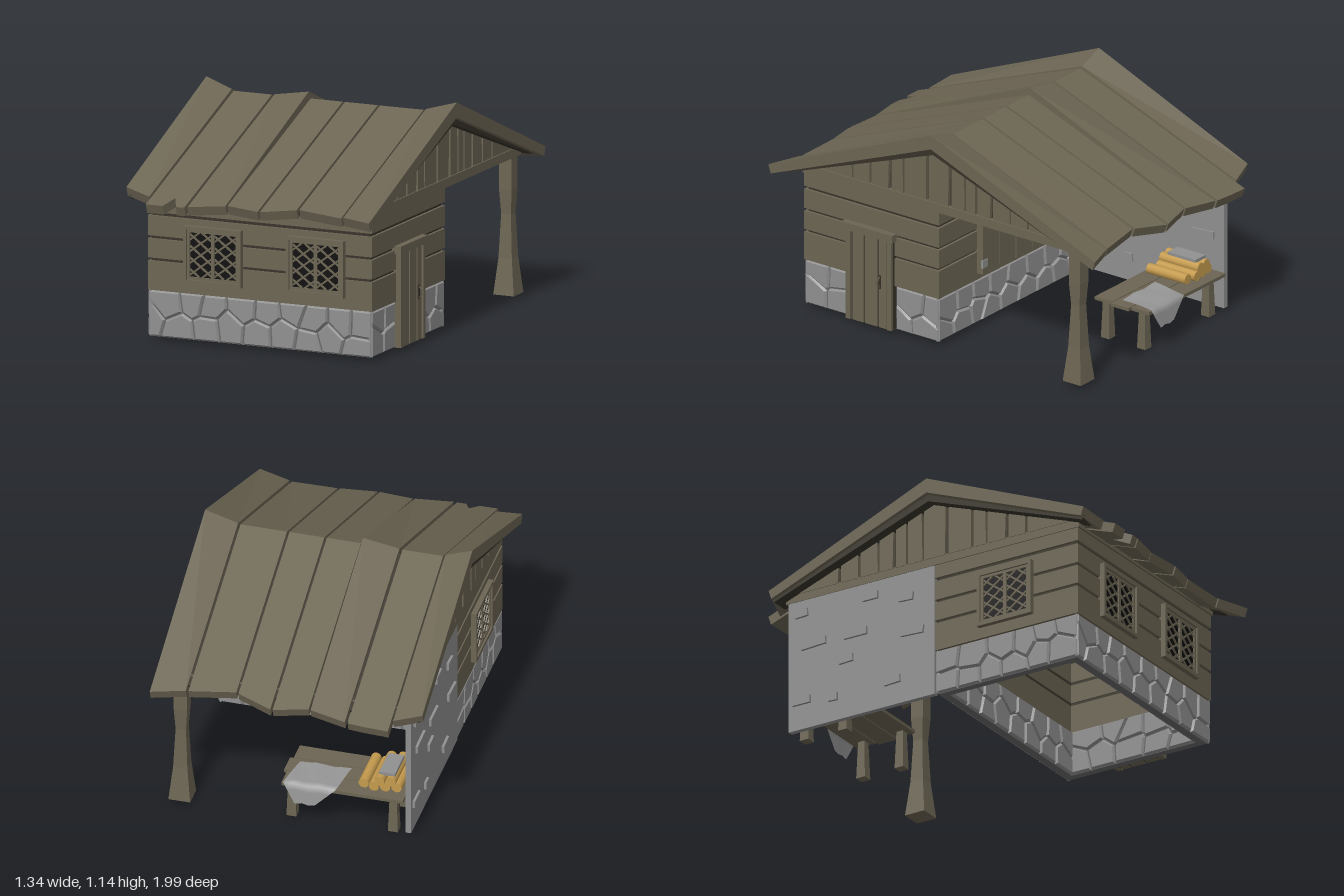
import * as THREE from 'three';
import { mergeGeometries } from 'three/addons/utils/BufferGeometryUtils.js';

const paint = (name, color, side = THREE.FrontSide) => {
  const m = new THREE.MeshStandardMaterial({ color, side });
  m.name = name;
  return m;
};

export function createModel() {
  const root = new THREE.Group();
  root.name = 'cabin';
  const wood = paint('weathered wood', 0x6c6553), dark = paint('dark gap', 0x38332a);
  const stone = paint('stone', 0x909090), mortar = paint('mortar', 0x686868);
  const pane = paint('window pane', 0x0d0d0d), log = paint('cut log', 0xc59b4e);
  const fabric = paint('cloth', 0x969696, THREE.DoubleSide);

  const mesh = (name, geo, mat, parent = root) => {
    const m = new THREE.Mesh(geo, mat);
    m.name = name;
    parent.add(m);
    return m;
  };
  // box given by its limits
  const box = (name, mat, x0, x1, y0, y1, z0, z1, parent = root) => {
    const m = mesh(name, new THREE.BoxGeometry(x1 - x0, y1 - y0, z1 - z0), mat, parent);
    m.position.set((x0 + x1) / 2, (y0 + y1) / 2, (z0 + z1) / 2);
    return m;
  };
  const group = (name, x, y, z, ry = 0, parent = root) => {
    const g = new THREE.Group();
    g.name = name;
    g.position.set(x, y, z);
    g.rotation.y = ry;
    parent.add(g);
    return g;
  };
  // square post from [half width, y] pairs
  const squarePost = (name, profile, x, z) => {
    const pts = profile.map(([h, y]) => new THREE.Vector2(h * Math.SQRT2, y));
    const g = new THREE.LatheGeometry(pts, 4, Math.PI / 4).toNonIndexed();
    g.computeVertexNormals();
    mesh(name, g, wood).position.set(x, 0, z);
  };
  let seed = 7;
  const rand = () => (seed = (seed * 16807) % 2147483647) / 2147483647;

  // field of irregular bevelled stones on a w by h rectangle, facing +z
  const stoneField = (w, h) => {
    const n = Math.max(2, Math.round(w / 0.13)), seeds = [], geos = [];
    for (let r = 0; r < 2; r++) for (let i = 0; i < n; i++)
      seeds.push([(i + 0.3 + r * 0.35 + (rand() - 0.5) * 0.5) * w / n, (r + 0.5 + (rand() - 0.5) * 0.55) * h / 2]);
    for (const a of seeds) {
      let poly = [[0.002, 0.002], [w - 0.002, 0.002], [w - 0.002, h - 0.002], [0.002, h - 0.002]];
      for (const b of seeds) {
        if (a === b) continue;
        const d = Math.hypot(b[0] - a[0], b[1] - a[1]), dx = (b[0] - a[0]) / d, dy = (b[1] - a[1]) / d;
        const dist = p => (p[0] - a[0]) * dx + (p[1] - a[1]) * dy - d / 2 + 0.003;
        const out = [];
        poly.forEach((p, i) => {
          const q = poly[(i + 1) % poly.length], s = dist(p), t = dist(q);
          if (s <= 0) out.push(p);
          if (s * t < 0) out.push([p[0] + (q[0] - p[0]) * s / (s - t), p[1] + (q[1] - p[1]) * s / (s - t)]);
        });
        poly = out;
      }
      if (poly.length < 3) continue;
      const shape = new THREE.Shape(poly.map(p => new THREE.Vector2(p[0], p[1])));
      geos.push(new THREE.ExtrudeGeometry(shape, { depth: 0.003, bevelThickness: 0.011, bevelSize: 0.008, bevelOffset: -0.008, bevelSegments: 1 }));
    }
    return mergeGeometries(geos);
  };

  // four walls around the room
  const X0 = -0.595, X1 = 0.608, Z0 = 0, Z1 = 0.82;
  const wallRing = (name, mat, y0, y1, inset, t) => {
    const a = X0 + inset, b = X1 - inset, c = Z0 + inset, d = Z1 - inset;
    box(name, mat, a, b, y0, y1, d - t, d);
    box(name, mat, a, b, y0, y1, c, c + t);
    box(name, mat, a, a + t, y0, y1, c + t, d - t);
    box(name, mat, b - t, b, y0, y1, c + t, d - t);
  };
  wallRing('foundation', mortar, 0.02, 0.25, 0.014, 0.04);
  [[0.25, 0.395], [0.41, 0.505], [0.52, 0.62], [0.637, 0.73]].forEach(([a, b]) => wallRing('wallBoard', wood, a, b, 0, 0.05));
  [[0.395, 0.41], [0.505, 0.52], [0.62, 0.637]].forEach(([a, b]) => wallRing('boardGap', dark, a, b, 0.014, 0.03));

  // stones, outside then inside: [x, z, turn, width]
  const H = Math.PI / 2, W = X1 - X0;
  [[X0, Z1 - 0.014, 0, W], [X1, Z0 + 0.014, Math.PI, W], [X0 + 0.014, Z0, -H, Z1],
    [X1 - 0.014, Z1, H, 0.27], [X1 - 0.014, 0.265, H, 0.265],
    [X1 - 0.054, Z1 - 0.054, Math.PI, W - 0.108], [X0 + 0.054, Z0 + 0.054, 0, W - 0.108],
    [X0 + 0.054, Z1 - 0.054, H, Z1 - 0.108], [X1 - 0.054, Z0 + 0.054, -H, Z1 - 0.108],
  ].forEach(([x, z, ry, w]) => mesh('foundationStones', stoneField(w, 0.23), stone, group('stoneFace', x, 0.02, z, ry)));

  // lattice windows, drawn on both faces of the wall
  const bar = (g, x0, y0, x1, y1, z) => {
    const m = mesh('latticeBar', new THREE.BoxGeometry(Math.hypot(x1 - x0, y1 - y0), 0.009, 0.008), wood, g);
    m.position.set((x0 + x1) / 2, (y0 + y1) / 2, z);
    m.rotation.z = Math.atan2(y1 - y0, x1 - x0);
  };
  const windowFace = (x, y, z, ry) => {
    const g = group('window', x, y, z, ry), w = 0.155, h = 0.142;
    box('pane', pane, -w + 0.02, w - 0.02, -h + 0.02, h - 0.02, 0.001, 0.007, g);
    for (const s of [-1, 1]) {
      const rim = (t, o, d) => {
        const p = s * (w - o - t / 2), q = s * (h - o - t / 2);
        box('frameSide', wood, p - t / 2, p + t / 2, -h + o, h - o, -0.01, d, g);
        box('frameRail', wood, -w + o + t, w - o - t, q - t / 2, q + t / 2, -0.01, d, g);
      };
      rim(0.018, 0, 0.026);
      rim(0.014, 0.018, 0.016);
      // crossing bars clipped to each half of the opening
      const a = s < 0 ? -0.123 : 0.009, b = a + 0.114, k = 0.75, top = h - 0.032;
      for (const dir of [-1, 1]) for (let i = -3; i <= 3; i++) {
        const c = i * 0.058, mid = (a + b) / 2;
        const lo = Math.max(-0.057, (-top - c) / k), hi = Math.min(0.057, (top - c) / k);
        if (hi - lo > 0.012) bar(g, mid + dir * lo, c + k * lo, mid + dir * hi, c + k * hi, dir > 0 ? 0.01 : 0.0095);
      }
    }
    box('mullion', wood, -0.009, 0.009, -h + 0.03, h - 0.03, 0, 0.016, g);
  };
  for (const x of [-0.24, 0.31]) {
    windowFace(x, 0.448, Z1, 0);
    windowFace(x, 0.448, Z1 - 0.05, Math.PI);
  }
  windowFace(X0, 0.448, 0.41, -H);
  windowFace(X0 + 0.05, 0.448, 0.41, H);

  // plank door with lintel and pull
  box('doorBacking', dark, 0.59, 0.618, 0.022, 0.5, 0.27, 0.546);
  [[0.272, 0.298], [0.306, 0.35], [0.36, 0.435], [0.445, 0.512], [0.52, 0.548]].forEach(([a, b], i) =>
    box('doorPlank', wood, 0.59, i % 4 ? 0.628 : 0.634, 0.02, 0.5, a, b));
  box('doorLintel', wood, 0.59, 0.642, 0.488, 0.527, 0.258, 0.566);
  const pull = mesh('doorPull', new THREE.TorusGeometry(0.03, 0.004, 5, 4), wood);
  pull.position.set(0.63, 0.26, 0.343);
  box('pullPlate', dark, 0.628, 0.634, 0.225, 0.295, 0.336, 0.35);

  // closed shutter on the back wall
  for (let i = 0; i < 5; i++)
    box('shutterPlank', wood, -0.36 + i * 0.134, -0.232 + i * 0.134, 0.285 + (i % 2) * 0.008, 0.64, -0.036, 0.01);
  box('shutterBacking', dark, -0.355, 0.3, 0.3, 0.63, -0.022, 0.01);
  for (const y of [0.34, 0.58]) for (const x of [-0.35, 0.27]) box('hinge', stone, x, x + 0.04, y - 0.02, y + 0.02, -0.042, -0.03);

  // side stone wall with scattered raised bricks: [z, y, length]
  box('sideWall', stone, -0.597, -0.57, 0.02, 0.715, -0.838, -0.002);
  [[-0.08, 0.635, 0.07], [-0.475, 0.63, 0.085], [-0.68, 0.575, 0.08], [-0.15, 0.46, 0.14], [-0.39, 0.455, 0.13],
    [-0.715, 0.385, 0.13], [-0.335, 0.33, 0.08], [-0.08, 0.17, 0.1], [-0.26, 0.145, 0.05], [-0.6, 0.15, 0.09]].forEach(([z, y, l], i) => {
    const b = box('brick', stone, -0.582, -0.56, y - 0.02, y + 0.02, z - l / 2, z + l / 2);
    b.rotation.x = (i % 3 - 1) * 0.05;
    box('outerBrick', stone, -0.61, -0.585, y - 0.02, y + 0.02, -0.84 - z - l / 2, -0.84 - z + l / 2).rotation.x = b.rotation.x;
  });

  // ceiling and gables
  box('ceiling', wood, -0.6, 0.61, 0.705, 0.75, -0.85, 0.83);
  const roofLine = z => 1.055 - 0.37 * Math.abs(z);
  const slits = [-0.82, -0.53, -0.42, -0.3, -0.22, -0.075, 0.065, 0.155, 0.225, 0.32, 0.43, 0.54, 0.82];
  for (const s of [-1, 1]) {
    const g = group('gable', s * 0.575, 0, 0, s * H);
    const slab = (name, pts, mat, depth, z) => {
      const shape = new THREE.Shape(pts.map(p => new THREE.Vector2(...p)));
      mesh(name, new THREE.ExtrudeGeometry(shape, { depth, bevelEnabled: false }), mat, g).position.z = z;
    };
    slab('gableBacking', [[-0.82, 0.74], [0.82, 0.74], [0, 1.04]], dark, 0.01, 0);
    for (let i = 0; i < slits.length - 1; i++) {
      const a = s * slits[i + (s < 0 ? 1 : 0)] + 0.007, b = s * slits[i + (s < 0 ? 0 : 1)] - 0.007;
      const t = 0.006 * (i % 3 - 1), pts = [[a, 0.745], [b - t, 0.745], [b, roofLine(b)]];
      if (a * b < 0) pts.push([0, roofLine(0)]);
      pts.push([a, roofLine(a)]);
      slab('gableBoard', pts, wood, 0.028, 0);
    }
  }

  // roof boards lofted through sections [x, ridge y, slope, front z, back z]
  const roofBoard = (name, sections, mat, thick) => {
    const pos = [];
    const rings = sections.map(([x, r, s, f, b]) => [[f, r - s * f], [f - 0.015, r - s * f - thick * 0.6], [0, r - thick],
      [0.015 - b, r - s * b - thick * 0.6], [-b, r - s * b], [0, r]].map(([z, y]) => [x, y, z]));
    const quad = (a, b, c, d) => pos.push(...a, ...b, ...c, ...a, ...c, ...d);
    for (let j = 0; j < rings.length - 1; j++) for (let i = 0; i < 6; i++) {
      const k = (i + 1) % 6, p = rings[j], q = rings[j + 1];
      quad(p[i], p[k], q[k], q[i]);
    }
    const p = rings[0], q = rings[rings.length - 1];
    quad(p[5], p[2], p[1], p[0]);
    quad(p[5], p[4], p[3], p[2]);
    quad(q[0], q[1], q[2], q[5]);
    quad(q[2], q[3], q[4], q[5]);
    const g = new THREE.BufferGeometry();
    g.setAttribute('position', new THREE.Float32BufferAttribute(pos, 3));
    g.computeVertexNormals();
    mesh(name, g, mat);
  };
  [
    [[-0.672, 1.14, 0.415, 0.9, 0.905], [-0.535, 1.09, 0.38, 0.93, 0.94]],
    [[-0.525, 1.082, 0.374, 0.99, 1], [-0.435, 1.082, 0.374, 0.99, 0.997], [-0.4, 1.082, 0.374, 0.915, 0.996],
      [-0.365, 1.082, 0.374, 0.988, 0.993], [-0.32, 1.082, 0.374, 0.986, 0.99]],
    [[-0.305, 1.085, 0.375, 0.982, 0.988], [-0.122, 1.115, 0.41, 0.94, 0.948]],
    [[-0.112, 1.082, 0.375, 0.935, 0.945], [0.06, 1.082, 0.375, 0.96, 0.98]],
    [[0.072, 1.082, 0.375, 0.96, 0.98], [0.248, 1.082, 0.375, 0.915, 0.92]],
    [[0.26, 1.082, 0.375, 0.91, 0.915], [0.494, 1.082, 0.385, 0.93, 0.94]],
    [[0.506, 1.087, 0.385, 0.93, 0.945], [0.672, 1.135, 0.412, 0.99, 1]],
  ].forEach(s => roofBoard('roofBoard', s, wood, 0.075));
  roofBoard('roofUnderlay', [[-0.655, 1.06, 0.37, 0.895, 0.9], [0.655, 1.06, 0.37, 0.895, 0.9]], dark, 0.035);

  // porch post
  squarePost('porchPost', [[0, 0.02], [0.055, 0.02], [0.036, 0.2], [0.026, 0.42], [0.034, 0.54], [0.034, 0.715]], 0.56, -0.815);

  // work table
  for (const x of [-0.5, 0.01]) for (const z of [-0.575, -0.795])
    squarePost('tableLeg', [[0, 0], [0.025, 0], [0.018, 0.2]], x, z);
  for (let i = 0; i < 3; i++)
    box('tableBoard', wood, -0.56, 0.05 + (i % 2) * 0.018, 0.195, 0.212, -0.855 + i * 0.112, -0.748 + i * 0.112);

  // stacked logs with a metal blade on top
  [[-0.51, 0.238], [-0.455, 0.238], [-0.4, 0.238], [-0.345, 0.236], [-0.483, 0.272], [-0.428, 0.272]].forEach(([x, y], i) => {
    const m = mesh('log', new THREE.CylinderGeometry(0.026, 0.026, 0.235, 10), log);
    m.rotation.x = H;
    m.position.set(x, y, -0.672 - (i % 3) * 0.008);
  });
  box('blade', stone, -0.5, -0.42, 0.294, 0.31, -0.78, -0.61);

  // cloth lying on the table and hanging over the back edge
  const cloth = new THREE.PlaneGeometry(0.26, 0.32, 6, 8), p = cloth.attributes.position;
  for (let i = 0; i < p.count; i++) {
    const x = p.getX(i), d = p.getY(i) + 0.16, over = Math.max(0, d - 0.2);
    const narrow = 1 - over * 5;
    p.setXYZ(i, -0.12 + x * narrow + d * 0.15, 0.219 + 0.004 * Math.sin(x * 40 + d * 20) - over * 0.85,
      -0.662 - Math.min(d, 0.2) - over * 0.1);
  }
  cloth.computeVertexNormals();
  mesh('cloth', cloth, fabric);

  return root;
}
